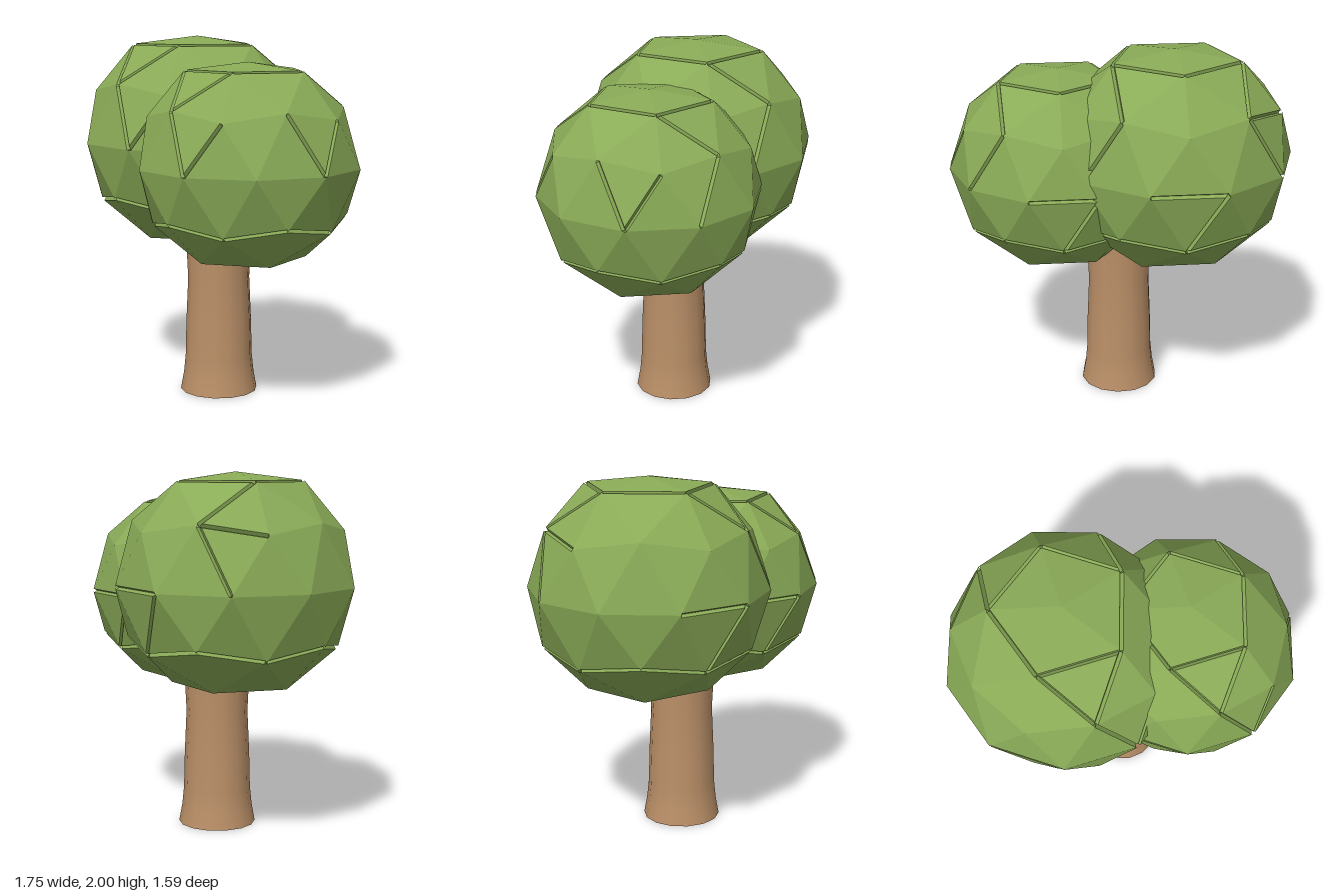
import * as THREE from 'three';

const leafGreen = new THREE.MeshStandardMaterial({ color: 0x8aab57 });
leafGreen.name = 'leafGreen';
const barkBrown = new THREE.MeshStandardMaterial({ color: 0xbb9068 });
barkBrown.name = 'barkBrown';

// Rings of the faceted crown: [radius, height, start angle, count], unit size
const RINGS = {
  T: [0, 0.92, 0, 1], P: [0.56, 0.85, 0, 5], U: [0.894, 0.447, 0, 5],
  M: [0.851, 0.526, 36, 5], E: [1.01, 0, 18, 10], L: [0.851, -0.526, 0, 5],
  V: [0.894, -0.447, 36, 5], Q: [0.526, -0.825, 36, 5], B: [0, -0.68, 0, 1],
};

// Seams cut between the leaf panels
const SEAMS = ['P1M1', 'P2M1', 'M1E2', 'U1E2', 'E3E4', 'E3L2', 'E0U0', 'E0M0',
  'P0M4', 'M4E9', 'U3M3', 'P3M3', 'M3E6', 'E7L4', 'E7E8'];
for (let k = 0; k < 5; k++) {
  const n = (k + 1) % 5;
  SEAMS.push(`P${k}P${n}`, `V${k}L${k}`, `V${k}L${n}`);
}
const isSeam = (a, b) => SEAMS.includes(a + b) || SEAMS.includes(b + a);

const id = (ring, i) => {
  const n = RINGS[ring][3];
  return ring + ((i + n) % n);
};

function point(name) {
  const [r, y, start, n] = RINGS[name[0]];
  const a = THREE.MathUtils.degToRad(start + (360 / n) * Number(name[1]));
  return new THREE.Vector3(r * Math.cos(a), y, r * Math.sin(a));
}

// The sixteen triangles of each fifth of the crown
function crownFaces() {
  const faces = [];
  for (let k = 0; k < 5; k++) {
    const n = k + 1;
    const [P, Pn, U, Un, M] = [id('P', k), id('P', n), id('U', k), id('U', n), id('M', k)];
    const [E0, E1, Eb] = [id('E', 2 * k), id('E', 2 * k + 1), id('E', 2 * k - 1)];
    const [L, Ln, V, Vb] = [id('L', k), id('L', n), id('V', k), id('V', k - 1)];
    const [Q, Qb] = [id('Q', k), id('Q', k - 1)];
    faces.push(['T0', P, Pn], [P, Pn, M], [P, U, M], [Pn, M, Un],
      [U, Eb, E0], [U, E0, M], [Un, E1, M], [M, E0, E1],
      [V, E0, E1], [L, Eb, E0], [V, E0, L], [Vb, Eb, L],
      [Q, V, L], [Q, V, Ln], [Qb, Q, L], ['B0', Qb, Q]);
  }
  return faces;
}

function crownGeometry() {
  const out = [];
  const tri = (...pts) => pts.forEach((p) => out.push(p.x, p.y, p.z));
  const inset = 0.035, depth = 0.965;
  for (let names of crownFaces()) {
    let p = names.map(point);
    const normal = p[1].clone().sub(p[0]).cross(p[2].clone().sub(p[0]));
    const middle = p[0].clone().add(p[1]).add(p[2]);
    if (normal.dot(middle) < 0) {
      names = [names[0], names[2], names[1]];
      p = [p[0], p[2], p[1]];
    }
    const seam = [0, 1, 2].map((i) => isSeam(names[i], names[(i + 1) % 3]));
    // pull the corners back from every seam they touch
    const q = p.map((a, i) => {
      const next = p[(i + 1) % 3], prev = p[(i + 2) % 3], v = a.clone();
      if (seam[i]) v.addScaledVector(prev.clone().sub(a), inset);
      if (seam[(i + 2) % 3]) v.addScaledVector(next.clone().sub(a), inset);
      return v;
    });
    tri(...q);
    // sloping wall down into the seam
    seam.forEach((cut, i) => {
      if (!cut) return;
      const j = (i + 1) % 3;
      const lowA = p[i].clone().multiplyScalar(depth);
      const lowB = p[j].clone().multiplyScalar(depth);
      tri(lowA, lowB, q[j]);
      tri(lowA, q[j], q[i]);
    });
    // inner shell closing the seams
    tri(...p.map((a) => a.clone().multiplyScalar(depth - 0.005)));
  }
  const g = new THREE.BufferGeometry();
  g.setAttribute('position', new THREE.Float32BufferAttribute(out, 3));
  g.computeVertexNormals(); // unshared corners keep every facet flat
  return g;
}

export function createModel() {
  const tree = new THREE.Group();
  tree.name = 'tree';
  const add = (name, geometry, material, parent = tree) => {
    const mesh = new THREE.Mesh(geometry, material);
    mesh.name = name;
    parent.add(mesh);
    return mesh;
  };

  // Trunk, flared at the foot
  const trunk = new THREE.Group();
  trunk.name = 'trunk';
  trunk.position.set(0.01, 0, 0.025);
  tree.add(trunk);
  const profile = [[0.218, 0], [0.2, 0.1], [0.19, 0.2], [0.185, 0.4], [0.174, 0.65],
    [0.185, 0.88], [0.19, 1.05]].map(([x, y]) => new THREE.Vector2(x, y));
  add('bark', new THREE.LatheGeometry(profile, 14), barkBrown, trunk);
  const base = new THREE.CircleGeometry(0.218, 14).rotateX(Math.PI / 2).rotateY(Math.PI / 2);
  add('trunkBase', base, barkBrown, trunk);

  // Two overlapping crowns
  const crown = crownGeometry();
  const place = (name, x, y, z, size) => {
    const mesh = add(name, crown, leafGreen);
    mesh.position.set(x, y, z);
    mesh.scale.setScalar(size);
  };
  place('backCrown', -0.245, 1.4, -0.14, 0.652);
  place('frontCrown', 0.305, 1.32, 0.19, 0.6);

  return tree;
}
